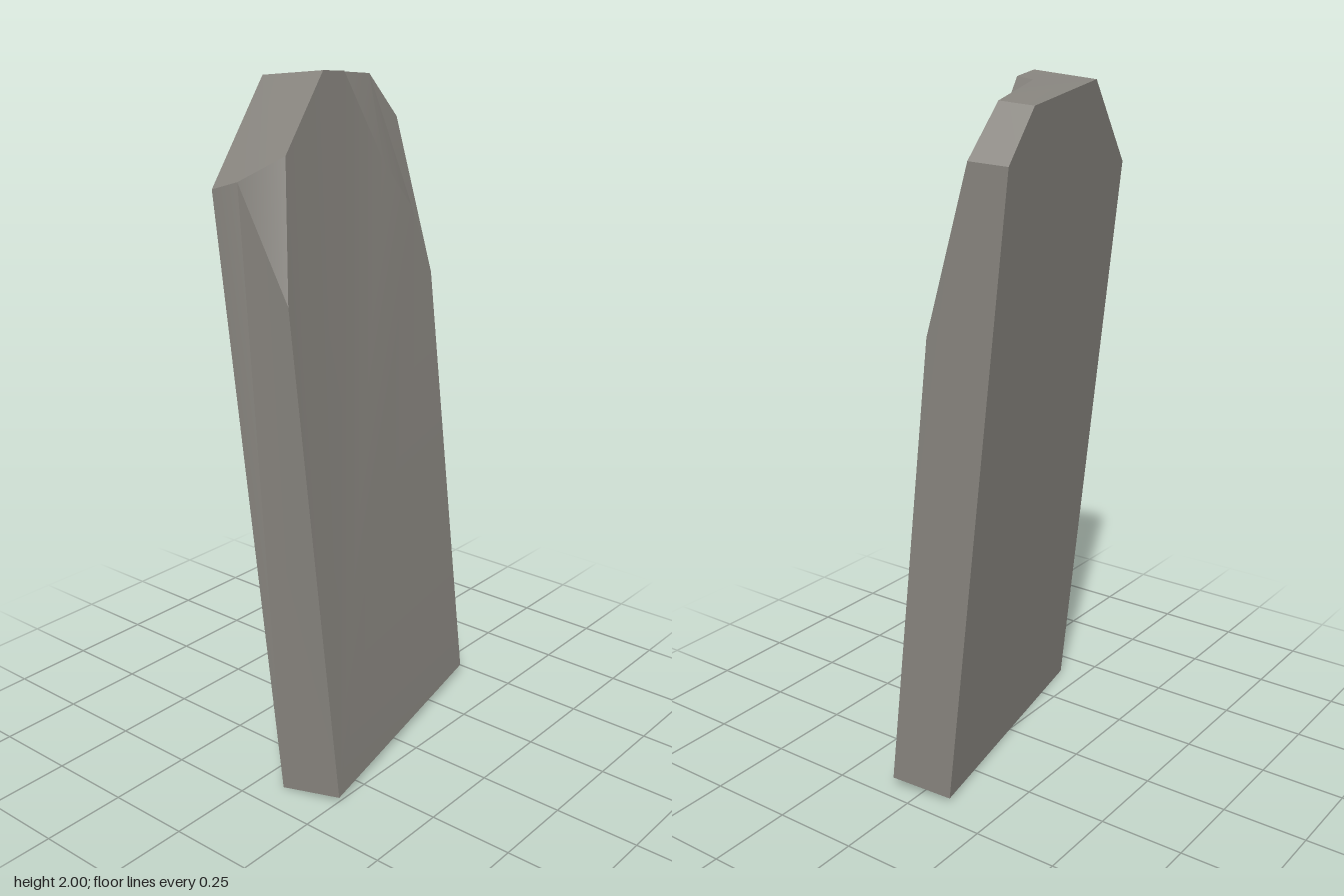
import * as THREE from 'three';
import { toCreasedNormals } from 'three/addons/utils/BufferGeometryUtils.js';

// Corners of the leaning slab
const P = {
  // foot
  footFL: [-0.37, 0.02, 0.257], footFR: [0.457, 0.03, 0.087],
  footBR: [0.425, 0.012, -0.095], footBL: [-0.41, 0, 0.08],
  // chipped left shoulder
  chipTop: [-0.36, 1.81, 0.08], chipLow: [-0.413, 1.44, 0.13], chipBack: [-0.438, 1.745, -0.014],
  // crown and crack
  peak: [-0.14, 2, 0.016], crackL: [-0.031, 1.99, -0.004],
  crackR: [-0.012, 1.985, -0.07], crackTip: [0.155, 1.728, -0.016],
  // worn right shoulder
  wornMid: [0.315, 1.572, -0.034], wornLow: [0.412, 1.36, -0.032],
  crownR: [0.255, 1.955, -0.15], shoulderR: [0.389, 1.82, -0.153],
  // back rim
  backL: [-0.46, 1.722, -0.083], backPeak: [-0.175, 1.98, -0.167],
  backCrownR: [0.235, 1.946, -0.247], backR: [0.367, 1.812, -0.262],
};

// Each face is a loop of corners, fanned from its first one
const FACES = [
  'footFL footFR wornLow wornMid crackTip crackL peak chipTop chipLow', // front
  'crownR crackR crackTip wornMid wornLow shoulderR', // worn front corner
  'crackL crackTip crackR', // crack wall
  'chipTop chipBack chipLow', // chipped edge
  'backPeak peak crackL crackR crownR backCrownR', // crown
  'backPeak backL chipBack chipTop peak', // left slope
  'crownR shoulderR backR backCrownR', // right slope
  'footBL footFL chipLow chipBack backL', // left side
  'footFR footBR backR shoulderR wornLow', // right side
  'footBR footBL backL backPeak backCrownR backR', // back
  'footBL footBR footFR footFL', // underside
];

export function createModel() {
  const stone = new THREE.MeshStandardMaterial({ color: 0x86837d });
  stone.name = 'stone';

  const positions = [];
  for (const face of FACES) {
    const loop = face.split(' ').map((name) => P[name]);
    for (let i = 1; i < loop.length - 1; i++) {
      positions.push(...loop[0], ...loop[i], ...loop[i + 1]);
    }
  }
  const geometry = new THREE.BufferGeometry();
  geometry.setAttribute('position', new THREE.Float32BufferAttribute(positions, 3));

  // Soft shading over the worn corner, sharp edges elsewhere
  const slab = new THREE.Mesh(toCreasedNormals(geometry, 0.4), stone);
  slab.name = 'stoneSlab';

  const group = new THREE.Group();
  group.name = 'leaningStone';
  group.add(slab);
  return group;
}
